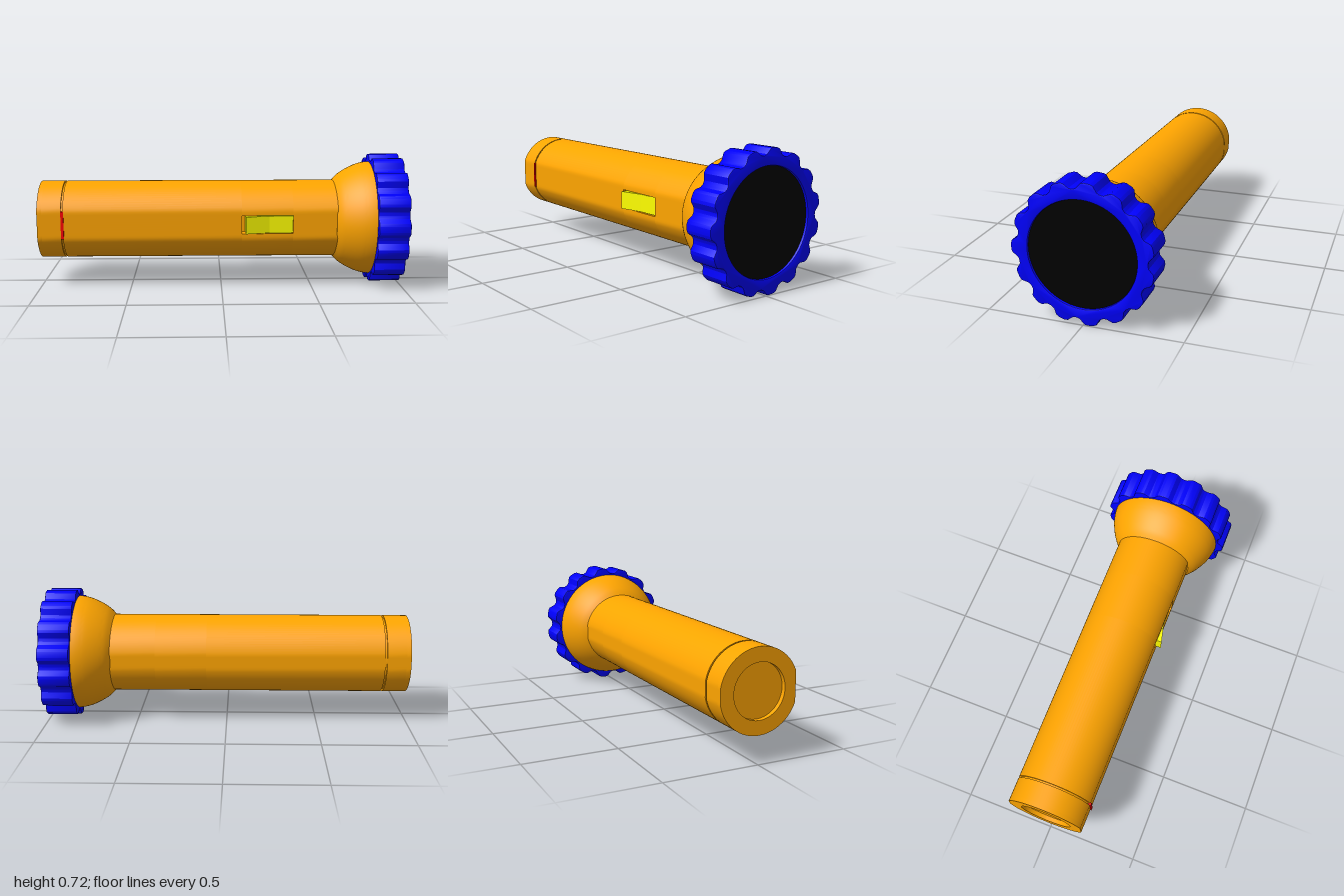
import * as THREE from 'three';
import { toCreasedNormals } from 'three/addons/utils/BufferGeometryUtils.js';

const AXIS_Y = 0.363;

export function createModel() {
  const torch = new THREE.Group();
  torch.name = 'flashlight';
  const paint = (color) => new THREE.MeshStandardMaterial({ color });
  const orange = paint(0xffa500), blue = paint(0x0000ff), black = paint(0x000000);
  const yellow = paint(0xffff00), red = paint(0xff0000);

  // All parts are built around the x axis, then lifted to AXIS_Y.
  function add(name, geometry, material) {
    const mesh = new THREE.Mesh(geometry, material);
    mesh.name = name;
    mesh.position.y = AXIS_Y;
    torch.add(mesh);
    return mesh;
  }

  // Sweep a shape (drawn as -z, y) along x from x0 to x1.
  function sweep(shape, x0, x1, bevel = 0) {
    const g = new THREE.ExtrudeGeometry(shape, {
      depth: x1 - x0 - 2 * bevel, curveSegments: 48, bevelEnabled: bevel > 0,
      bevelThickness: bevel, bevelSize: bevel, bevelOffset: -bevel, bevelSegments: 2,
    });
    return g.rotateY(Math.PI / 2).translate(x0 + bevel, 0, 0);
  }

  // Round barrel section with a flat front and back, and an optional switch slot.
  function section(r, slot = false) {
    const points = [];
    let slotDone = false;
    for (let i = 0; i < 96; i++) {
      const a = (i / 96) * Math.PI * 2;
      const u = Math.max(-0.2, Math.min(0.21, r * Math.cos(a)));
      const y = r * Math.sin(a);
      if (slot && u < 0 && Math.abs(y) < 0.051) {
        if (!slotDone) {
          for (const [pu, py] of [[-0.2, 0.05], [-0.14, 0.05], [-0.14, -0.05], [-0.2, -0.05]])
            points.push(new THREE.Vector2(pu, py));
        }
        slotDone = true;
      } else points.push(new THREE.Vector2(u, y));
    }
    return new THREE.Shape(points);
  }

  // Barrel pieces widen very slightly in z towards the head.
  function barrel(name, shape, x0, x1) {
    const g = sweep(shape, x0, x1);
    const p = g.attributes.position;
    for (let i = 0; i < p.count; i++) p.setZ(i, p.getZ(i) * (0.995 + 0.022 * (p.getX(i) + 1)));
    add(name, toCreasedNormals(g, 0.3), orange);
  }

  // End cap with a round recess, then the groove and the barrel
  const capRim = section(0.214);
  capRim.holes.push(new THREE.Path().absarc(0, 0, 0.14, 0, Math.PI * 2, true));
  barrel('endCapRim', capRim, -1, -0.975);
  barrel('endCap', section(0.214), -0.975, -0.87);
  barrel('capGroove', section(0.204), -0.87, -0.86);
  barrel('rearBarrel', section(0.214), -0.86, 0.11);
  barrel('slottedBarrel', section(0.214, true), 0.11, 0.39);
  barrel('frontBarrel', section(0.214), 0.39, 0.64);

  // Red alignment mark over the groove
  add('alignmentMark', new THREE.BoxGeometry(0.015, 0.15, 0.03).translate(-0.863, 0, 0.191), red);

  // Rocker switch, raised at its rear end
  const rocker = new THREE.Shape([[0.13, 0.145], [0.39, 0.145], [0.39, 0.196], [0.26, 0.2], [0.13, 0.232]]
    .map(([x, z]) => new THREE.Vector2(x, z)));
  const rockerGeo = new THREE.ExtrudeGeometry(rocker, { depth: 0.094, bevelEnabled: false });
  add('rockerSwitch', rockerGeo.rotateX(Math.PI / 2).translate(0, 0.047, 0), yellow);

  // Bell-shaped reflector housing
  const bell = new THREE.SplineCurve([[0.214, 0.63], [0.246, 0.66], [0.276, 0.705], [0.3, 0.755],
    [0.313, 0.8], [0.318, 0.84]].map(([r, x]) => new THREE.Vector2(r, x))).getPoints(24);
  const bellGeo = new THREE.LatheGeometry([new THREE.Vector2(0, 0.63), ...bell], 96);
  add('reflectorHousing', toCreasedNormals(bellGeo.rotateZ(-Math.PI / 2), 0.5), orange);

  // Grip ring with fifteen lobes
  const lobe = [[-12, 0.326], [-9, 0.33], [-5, 0.355], [-2.5, 0.3595], [2.5, 0.3595], [5, 0.355], [9, 0.33]];
  const outline = [];
  for (let i = 0; i < 15; i++) {
    for (const [deg, r] of lobe) {
      const a = Math.PI + THREE.MathUtils.degToRad(i * 24 + deg);
      outline.push(new THREE.Vector2(r * Math.cos(a), r * Math.sin(a)));
    }
  }
  const ring = new THREE.Shape(outline);
  ring.holes.push(new THREE.Path().absarc(0, 0, 0.274, 0, Math.PI * 2, true));
  add('gripRing', toCreasedNormals(sweep(ring, 0.83, 1, 0.005), 0.5), blue);

  // Dark lens, set just behind the ring's face
  add('lens', new THREE.CylinderGeometry(0.278, 0.278, 0.15, 96)
    .rotateZ(-Math.PI / 2).translate(0.912, 0, 0), black);

  return torch;
}
